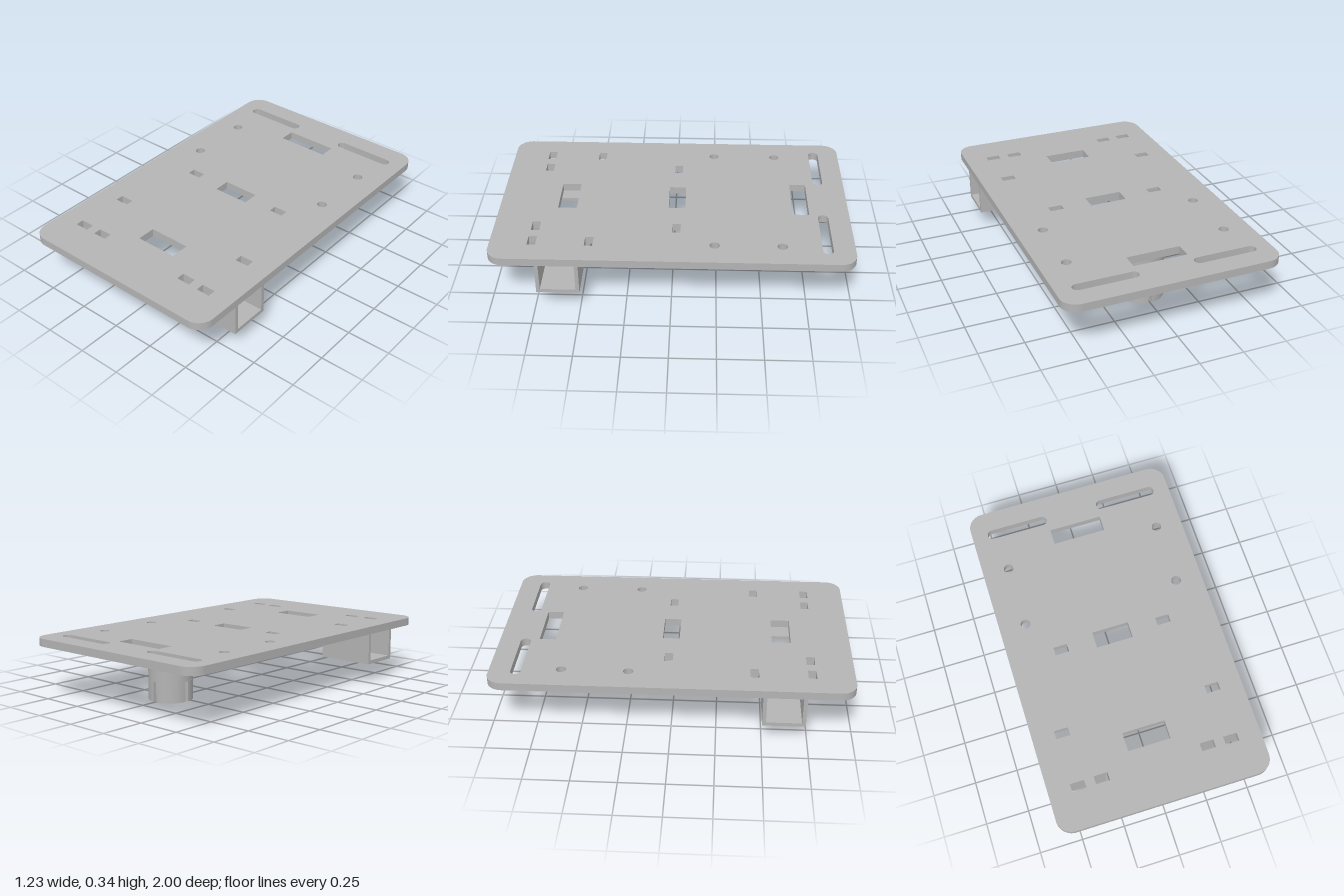
import * as THREE from 'three';
import { toCreasedNormals } from 'three/addons/utils/BufferGeometryUtils.js';

const PLATE_TOP = 0.335, PLATE_BOTTOM = 0.29;

// Extrudes a shape drawn in (x, z) downwards from the height "top".
function slab(shape, top, height) {
  const g = new THREE.ExtrudeGeometry(shape, { depth: height, bevelEnabled: false, curveSegments: 20 });
  g.rotateX(Math.PI / 2).translate(0, top, 0);
  return toCreasedNormals(g, 0.5);
}

// Rectangle with rounded corners, centred on (x, z).
function roundedRect(path, x, z, w, d, r) {
  const a = w / 2 - r, b = d / 2 - r, q = Math.PI / 2;
  path.absarc(x + a, z + b, r, 0, q);
  path.absarc(x - a, z + b, r, q, 2 * q);
  path.absarc(x - a, z - b, r, 2 * q, 3 * q);
  path.absarc(x + a, z - b, r, 3 * q, 4 * q);
  path.closePath();
  return path;
}

function rect(x, z, w, d) {
  return new THREE.Path([[-1, -1], [1, -1], [1, 1], [-1, 1], [-1, -1]]
    .map(([i, j]) => new THREE.Vector2(x + i * w / 2, z + j * d / 2)));
}

function circle(x, z, r) {
  return new THREE.Path().absarc(x, z, r, 0, Math.PI * 2);
}

// Stadium-shaped slot lying along x.
function slot(x, z, w, r) {
  const a = w / 2 - r, q = Math.PI / 2;
  const p = new THREE.Path();
  p.absarc(x + a, z, r, -q, q);
  p.absarc(x - a, z, r, q, 3 * q);
  p.closePath();
  return p;
}

export function createModel() {
  const model = new THREE.Group();
  model.name = 'mountingPlate';
  const grey = new THREE.MeshStandardMaterial({ color: 0xb4b4b4 });
  grey.name = 'grey';
  const add = (name, geometry, parent = model) => {
    const mesh = new THREE.Mesh(geometry, grey);
    mesh.name = name;
    parent.add(mesh);
    return mesh;
  };

  // Base plate with its cut-outs
  const plate = roundedRect(new THREE.Shape(), 0, 0, 1.23, 2, 0.09);
  plate.holes.push(
    rect(0, -0.727, 0.31, 0.094),
    rect(0, -0.02, 0.216, 0.096),
    rect(0, 0.61, 0.248, 0.108),
  );
  for (const s of [-1, 1]) {
    plate.holes.push(slot(s * 0.34, -0.85, 0.366, 0.029));
    for (const z of [-0.605, -0.235]) plate.holes.push(circle(s * 0.462, z, 0.028));
    for (const [x, z] of [[0.308, -0.022], [0.445, 0.455], [0.445, 0.768], [0.308, 0.765]]) {
      plate.holes.push(rect(s * x, z, 0.08, 0.047));
    }
  }
  add('plate', slab(plate, PLATE_TOP, PLATE_TOP - PLATE_BOTTOM));

  // U-shaped channels under the front corners, open to the sides
  const z0 = 0.5, z1 = 0.737, y0 = 0.11, t = 0.021, length = 0.337;
  const profile = new THREE.Shape([
    [z0, PLATE_BOTTOM], [z0, y0], [z1, y0], [z1, PLATE_BOTTOM],
    [z1 - t, PLATE_BOTTOM], [z1 - t, y0 + t], [z0 + t, y0 + t], [z0 + t, PLATE_BOTTOM],
  ].map(([z, y]) => new THREE.Vector2(z, y)));
  const channel = new THREE.ExtrudeGeometry(profile, { depth: length, bevelEnabled: false });
  channel.rotateY(-Math.PI / 2);
  add('leftChannel', channel).position.x = 0.615;
  add('rightChannel', channel).position.x = 0.615 * -1 + length;

  // Hollow post: a closed sleeve above four fingers separated by slits
  const post = new THREE.Group();
  post.name = 'post';
  post.position.z = -0.537;
  model.add(post);
  const R = 0.123, r = 0.086, slit = 0.0105, slitTop = 0.112;
  const ring = new THREE.Shape().absarc(0, 0, R, 0, Math.PI * 2);
  ring.holes.push(circle(0, 0, r));
  add('postSleeve', slab(ring, PLATE_BOTTOM, PLATE_BOTTOM - slitTop), post);

  const a = Math.asin(slit / R), b = Math.asin(slit / r);
  const sector = new THREE.Shape();
  sector.absarc(0, 0, R, a, Math.PI / 2 - a);
  sector.absarc(0, 0, r, Math.PI / 2 - b, b, true);
  sector.closePath();
  const finger = slab(sector, slitTop, slitTop);
  for (let i = 0; i < 4; i++) add('postFinger', finger, post).rotation.y = i * Math.PI / 2;

  return model;
}
